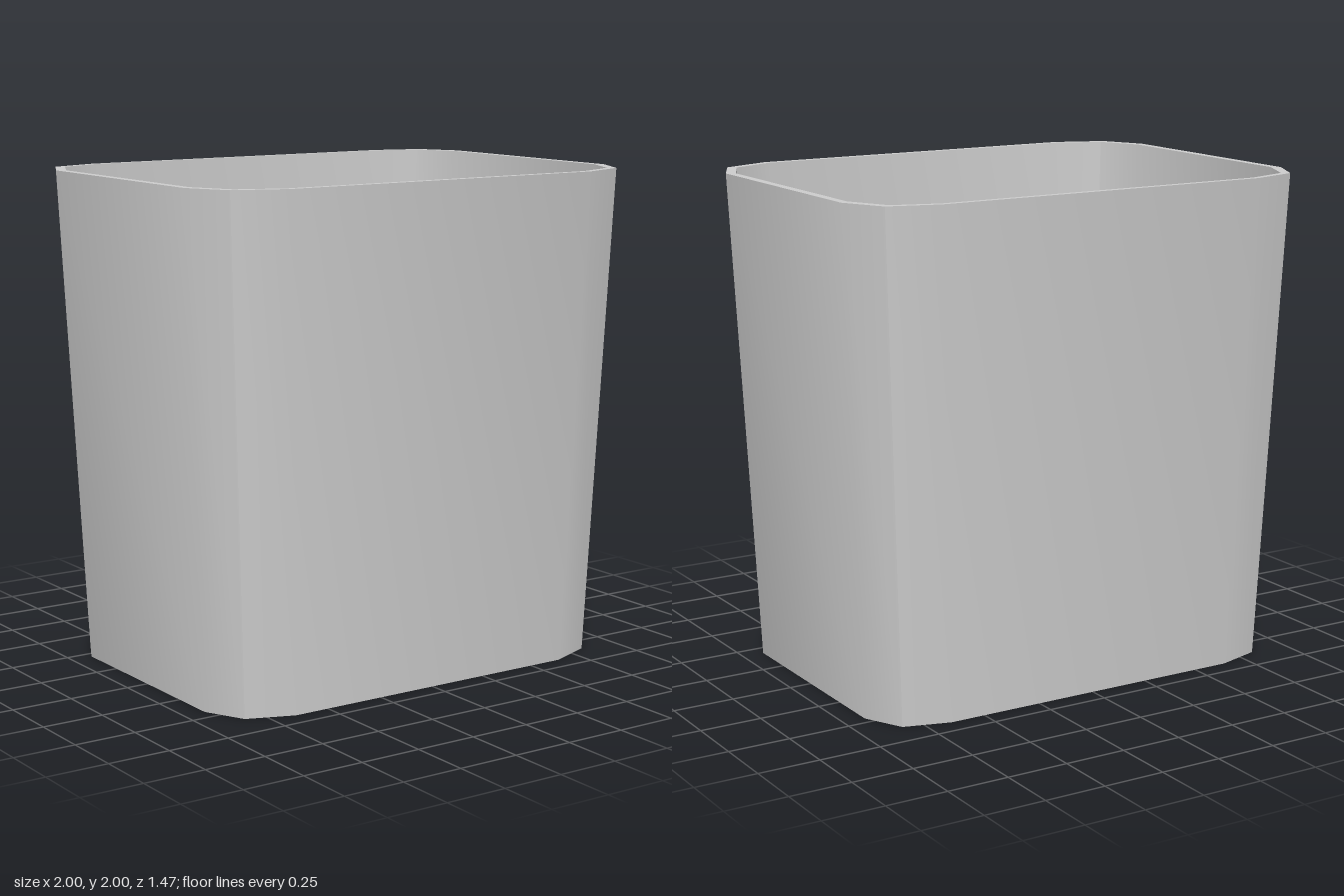
import * as THREE from 'three';
import { toCreasedNormals } from 'three/addons/utils/BufferGeometryUtils.js';

const HEIGHT = 2, FLOOR = 0.04;

// Eight-cornered-plus outline: each corner is cut by two facets.
// Runs from +x towards +z; front and back corners differ slightly.
function outline(front, back) {
  const mirror = (pts) => pts.map(([x, z]) => [-x, z]).reverse();
  const rear = back.map(([x, z]) => [x, -z]).reverse();
  return [...front, ...mirror(front), ...mirror(rear), ...rear];
}

const outer = outline(
  [[1, 0.48], [0.913, 0.655], [0.71, 0.735]],
  [[1, 0.505], [0.913, 0.675], [0.71, 0.735]]
);
const inner = outline(
  [[0.965, 0.46], [0.883, 0.63], [0.7, 0.705]],
  [[0.965, 0.485], [0.883, 0.652], [0.7, 0.71]]
);

// Place an outline at a height, scaled by the taper of the walls
const ring = (pts, y, s) => pts.map(([x, z]) => [x * s, y, z * s]);

// Walls between successive rings
function loft(rings) {
  const out = [];
  for (let k = 0; k < rings.length - 1; k++) {
    const lo = rings[k], hi = rings[k + 1], n = lo.length;
    for (let j = 0; j < n; j++) {
      const i = (j + 1) % n;
      out.push(...lo[j], ...hi[j], ...hi[i], ...lo[j], ...hi[i], ...lo[i]);
    }
  }
  return out;
}

// Flat cap over one ring
function cap(r, up) {
  const out = [];
  for (let j = 1; j < r.length - 1; j++) {
    const [a, b] = up ? [r[j + 1], r[j]] : [r[j], r[j + 1]];
    out.push(...r[0], ...a, ...b);
  }
  return out;
}

function part(name, positions) {
  const geo = new THREE.BufferGeometry();
  geo.setAttribute('position', new THREE.Float32BufferAttribute(positions, 3));
  const mesh = new THREE.Mesh(
    toCreasedNormals(geo, THREE.MathUtils.degToRad(35)),
    new THREE.MeshStandardMaterial({ color: 0xcccccc })
  );
  mesh.name = name;
  return mesh;
}

export function createModel() {
  const group = new THREE.Group();
  group.name = 'wasteBin';

  const outerBottom = ring(outer, 0, 0.91);
  const outerTop = ring(outer, HEIGHT, 1);
  const innerTop = ring(inner, HEIGHT, 1);
  const innerBottom = ring(inner, FLOOR, 0.91);

  group.add(
    part('outerWall', loft([outerBottom, outerTop])),
    part('rim', loft([outerTop, innerTop])),
    part('innerWall', loft([innerTop, innerBottom])),
    part('floor', cap(innerBottom, true)),
    part('base', cap(outerBottom, false))
  );
  return group;
}
